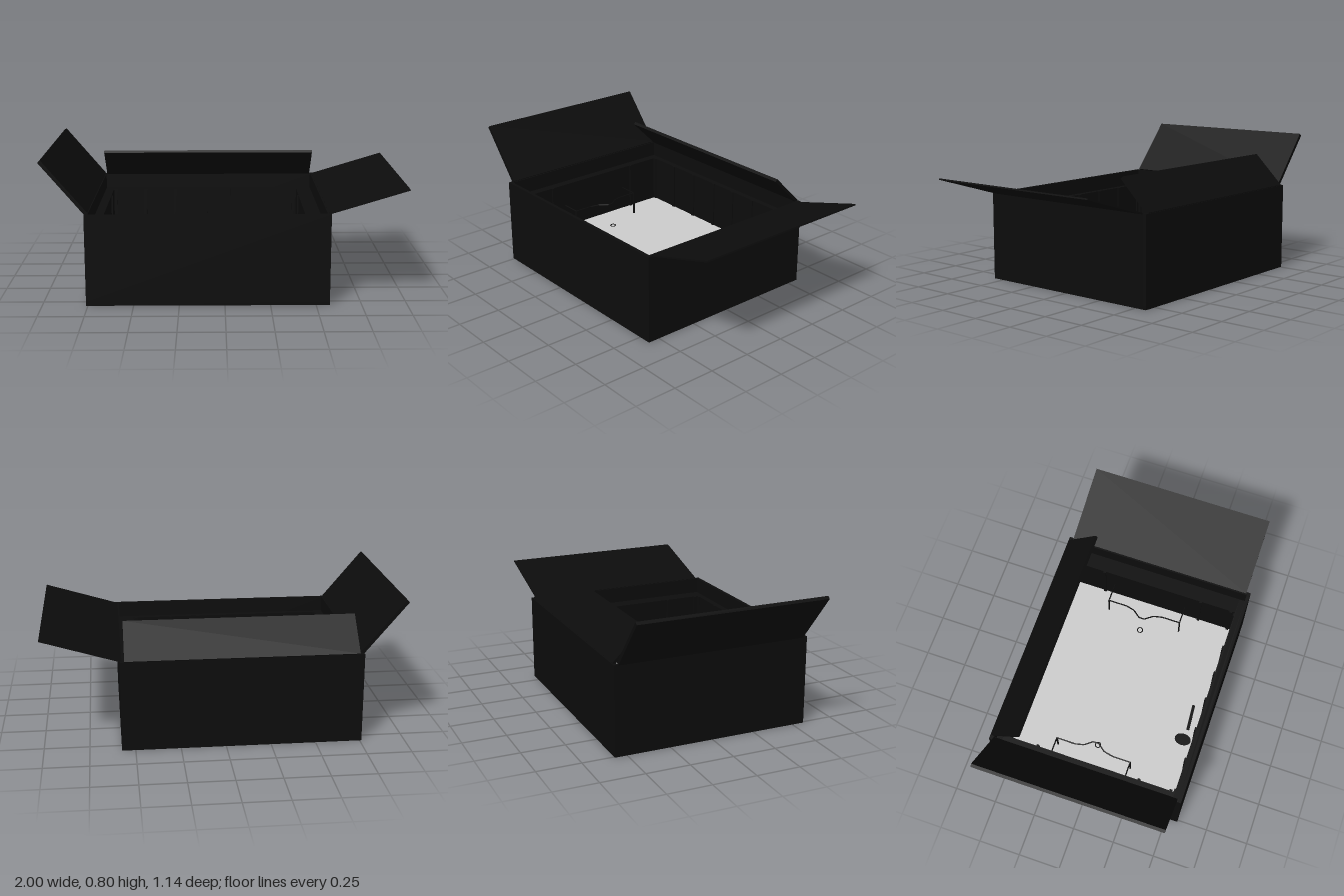
import * as THREE from 'three';

const black = new THREE.MeshStandardMaterial({ color: 0x0c0c0c });
black.name = 'black card';
const grey = new THREE.MeshStandardMaterial({ color: 0xcccccc });
grey.name = 'light grey base';

export function createModel() {
  const root = new THREE.Group();

  // Box spanning the given limits
  function block(name, x0, x1, y0, y1, z0, z1, mat = black, parent = root) {
    const m = new THREE.Mesh(new THREE.BoxGeometry(x1 - x0, y1 - y0, z1 - z0), mat);
    m.position.set((x0 + x1) / 2, (y0 + y1) / 2, (z0 + z1) / 2);
    m.name = name;
    parent.add(m);
    return m;
  }

  // Outer carton
  const X0 = -0.76, X1 = 0.575, Z = 0.57, H = 0.51, T = 0.02;
  block('bottom', X0, X1, 0, T, -Z, Z);
  block('frontWall', X0, X1, T, H, Z - T, Z);
  block('backWall', X0, X1, T, H, -Z, -Z + T);
  block('rightWall', X0, X0 + T, T, H, -Z + T, Z - T);
  block('leftWall', X1 - T, X1, T, H, -Z + T, Z - T);

  // Inner lining around the base
  const F = { x0: -0.69, x1: 0.465, z: 0.515, y: 0.14 }, L = 0.42;
  block('frontLining', X0 + T, X1 - T, T, L, F.z, Z - T);
  block('backLining', X0 + T, X1 - T, T, L, -Z + T, -F.z);
  block('rightLining', X0 + T, F.x0, T, L, -F.z, F.z);
  block('leftLining', F.x1, X1 - T, T, L, -F.z, F.z);
  block('innerBase', F.x0, F.x1, F.y - 0.02, F.y, -F.z, F.z, grey);

  // Thin ribs on the lining
  const ribs = new THREE.Group();
  ribs.name = 'liningRibs';
  root.add(ribs);
  for (const x of [-0.68, -0.49, -0.3, -0.11, 0.06, 0.23, 0.45])
    for (const s of [-1, 1]) {
      const z = s * (F.z - 0.004);
      block('rib', x - 0.01, x + 0.01, F.y, L, z - 0.004, z + 0.004, black, ribs);
    }
  for (const z of [-0.31, 0.3, 0.49])
    for (const x of [F.x0 + 0.004, F.x1 - 0.004])
      block('rib', x - 0.005, x + 0.005, F.y, L, z - 0.008, z + 0.008, black, ribs);

  // Sloping flaps: a is the hinge, b the tip, in the plane across the hinge
  function flap(name, a, b, width, thick) {
    const dx = b[0] - a[0], dy = b[1] - a[1];
    const m = new THREE.Mesh(new THREE.BoxGeometry(Math.hypot(dx, dy), thick, width), black);
    m.position.set((a[0] + b[0]) / 2, (a[1] + b[1]) / 2, 0);
    m.rotation.z = Math.atan2(dy, dx);
    const g = new THREE.Group();
    g.name = name;
    g.add(m);
    root.add(g);
    return g;
  }
  flap('rightFlap', [-0.75, 0.51], [-0.992, 0.797], 1.09, 0.02);
  flap('leftFlap', [0.565, 0.508], [0.998, 0.639], 1.09, 0.008);
  const back = flap('backFlap', [0.562, 0.508], [0.385, 0.682], 1.285, 0.018);
  back.rotation.y = Math.PI / 2;
  back.position.x = -0.0925;

  // Raised finger-grip outlines at both ends, on slim posts
  function tube(name, pts, r, parent) {
    const path = new THREE.CurvePath();
    for (let i = 1; i < pts.length; i++)
      path.add(new THREE.LineCurve3(new THREE.Vector3(...pts[i - 1]), new THREE.Vector3(...pts[i])));
    const m = new THREE.Mesh(new THREE.TubeGeometry(path, 80, r, 5), black);
    m.name = name;
    parent.add(m);
  }
  const mid = (F.x0 + F.x1) / 2, y = 0.28;
  for (const s of [-1, 1]) {
    const g = new THREE.Group();
    g.name = s < 0 ? 'rightGrip' : 'leftGrip';
    root.add(g);
    const profile = [[0.578, -0.245], [0.462, -0.245], [0.462, -0.13], [0.45, -0.08], [0.415, -0.035],
      [0.415, 0], [0.45, 0.045], [0.462, 0.1], [0.462, 0.21], [0.578, 0.21]];
    tube('gripOutline', profile.map(([d, z]) => [mid + s * d, y, z]), 0.004, g);
    for (const z of [-0.245, 0.21]) {
      const x = mid + s * 0.462;
      block('gripPost', x - 0.004, x + 0.004, F.y, y, z - 0.004, z + 0.004, black, g);
    }
    const ring = new THREE.Mesh(new THREE.TorusGeometry(0.016, 0.003, 5, 20), black);
    ring.name = 'gripRing';
    ring.rotation.x = Math.PI / 2;
    ring.position.set(mid + s * 0.39, F.y + 0.003, -0.018);
    g.add(ring);
  }

  // Dark markings on the base near the front
  const oval = new THREE.Mesh(new THREE.CylinderGeometry(0.035, 0.035, 0.006, 24), black);
  oval.name = 'ovalMark';
  oval.scale.z = 1.4;
  oval.position.set(-0.305, F.y + 0.003, 0.45);
  root.add(oval);
  const bar = block('barMark', -0.24, -0.08, F.y, F.y + 0.006, 0.445, 0.463);
  bar.rotation.y = 0.08;

  return root;
}
